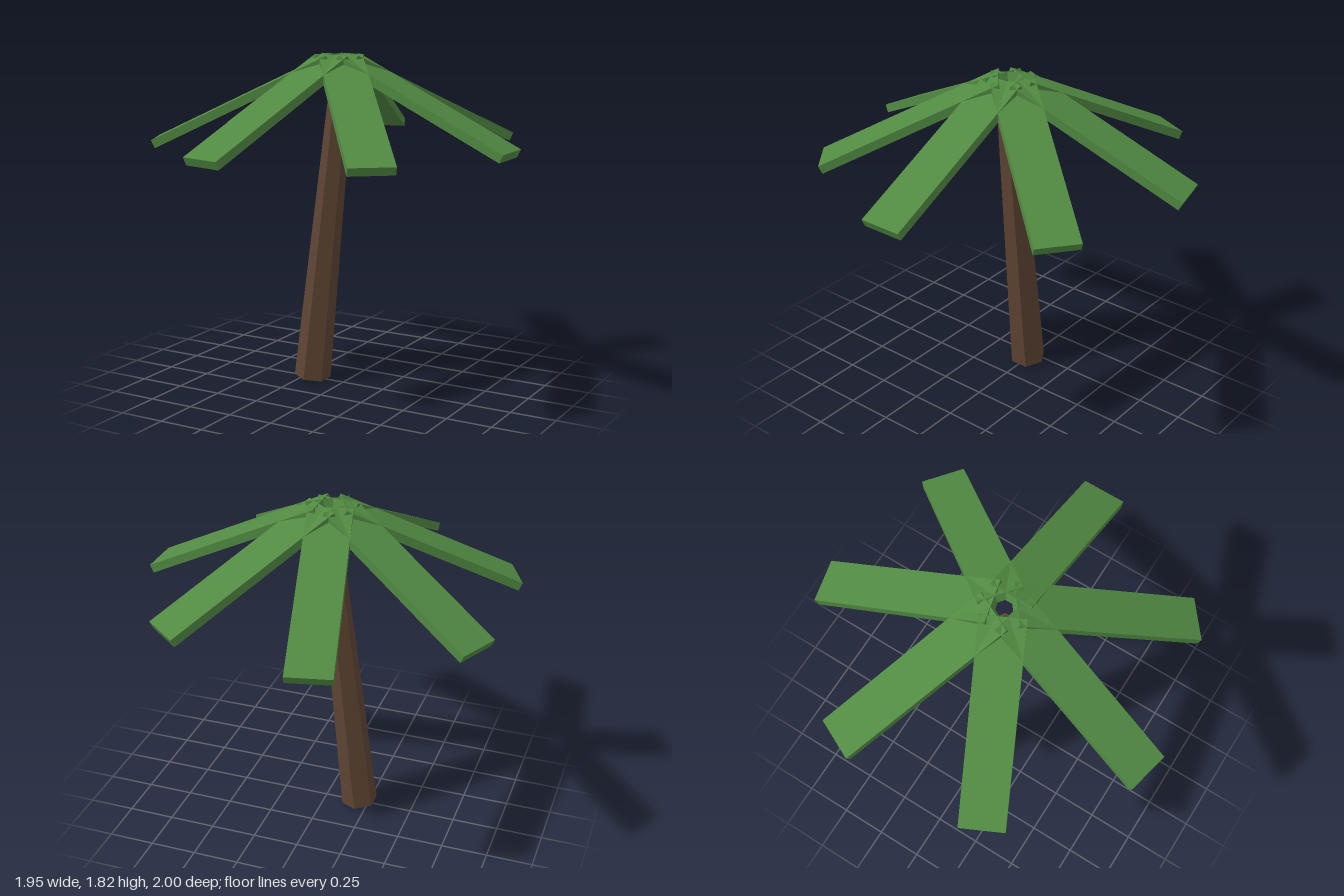
import * as THREE from 'three';

export function createModel() {
  const model = new THREE.Group();
  model.name = 'palmTree';

  const bark = new THREE.MeshStandardMaterial({ color: 0x5e4433 });
  bark.name = 'bark brown';
  bark.flatShading = true;
  const leaf = new THREE.MeshStandardMaterial({ color: 0x518a42 });
  leaf.name = 'leaf green';
  leaf.flatShading = true;

  // Leaning, tapered six-sided trunk
  const lean = 0.113;
  const trunk = new THREE.Mesh(new THREE.CylinderGeometry(0.065, 0.101, 1.56, 6), bark);
  trunk.name = 'trunk';
  trunk.position.set(-0.11, 0.785, 0);
  trunk.rotation.z = -lean;
  model.add(trunk);

  // Crown of seven drooping slab fronds around the trunk top
  const crown = new THREE.Group();
  crown.name = 'crown';
  crown.position.x = -0.026;
  const frondShape = new THREE.BoxGeometry(1.041, 0.047, 0.235);
  const count = 7;
  for (let i = 0; i < count; i++) {
    const arm = new THREE.Group();
    arm.name = `frond${i + 1}`;
    arm.rotation.y = (i / count) * Math.PI * 2;
    const blade = new THREE.Mesh(frondShape, leaf);
    blade.name = 'frondBlade';
    blade.position.set(0.519, 1.568, 0);
    blade.rotation.z = -0.45;
    arm.add(blade);
    crown.add(arm);
  }
  model.add(crown);

  return model;
}
